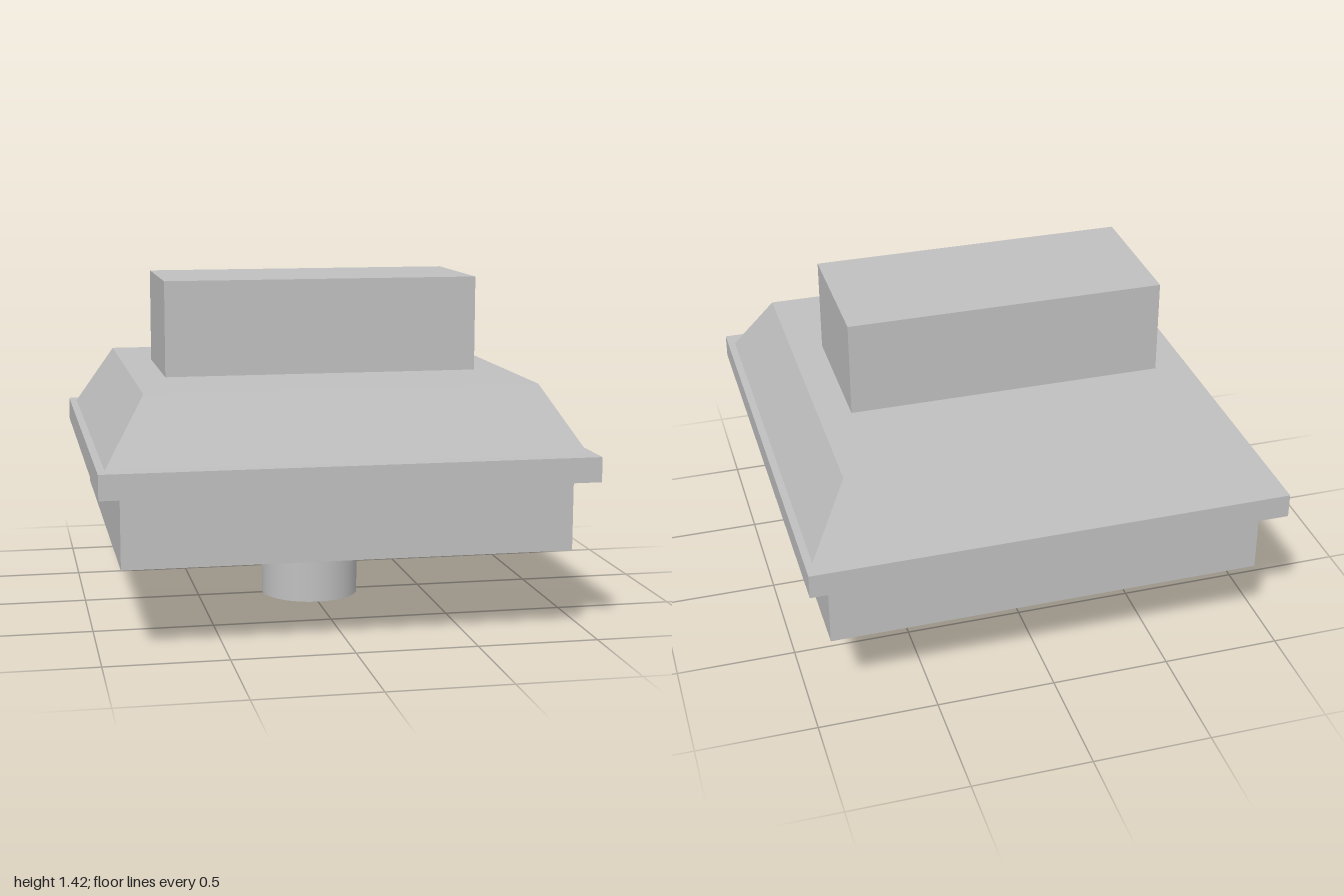
import * as THREE from 'three';

export function createModel() {
  const model = new THREE.Group();
  model.name = 'keySwitch';
  const grey = new THREE.MeshStandardMaterial({ color: 0xc0c0c0 });
  grey.name = 'light grey';

  const add = (name, geometry, y0, y1) => {
    const mesh = new THREE.Mesh(geometry, grey);
    mesh.name = name;
    mesh.position.y = (y0 + y1) / 2;
    model.add(mesh);
  };

  // Box between two heights, optionally tapering to a smaller top
  const block = (name, w, d, y0, y1, topW = w, topD = d) => {
    const geometry = new THREE.BoxGeometry(w, y1 - y0, d);
    const p = geometry.attributes.position;
    for (let i = 0; i < p.count; i++) {
      if (p.getY(i) > 0) {
        p.setX(i, Math.sign(p.getX(i)) * topW / 2);
        p.setZ(i, Math.sign(p.getZ(i)) * topD / 2);
      }
    }
    geometry.computeVertexNormals();
    add(name, geometry, y0, y1);
  };

  // Round pin under the housing
  add('pin', new THREE.CylinderGeometry(0.212, 0.212, 0.355, 48), 0, 0.355);
  // Square housing, flange, sloped cover and raised plunger
  block('lowerHousing', 1.826, 1.826, 0.355, 0.65);
  block('flange', 2, 2, 0.65, 0.752);
  block('slopedCover', 1.938, 1.84, 0.752, 1.02, 1.604, 1.536);
  block('plunger', 1.332, 0.596, 1.02, 1.42);

  return model;
}
